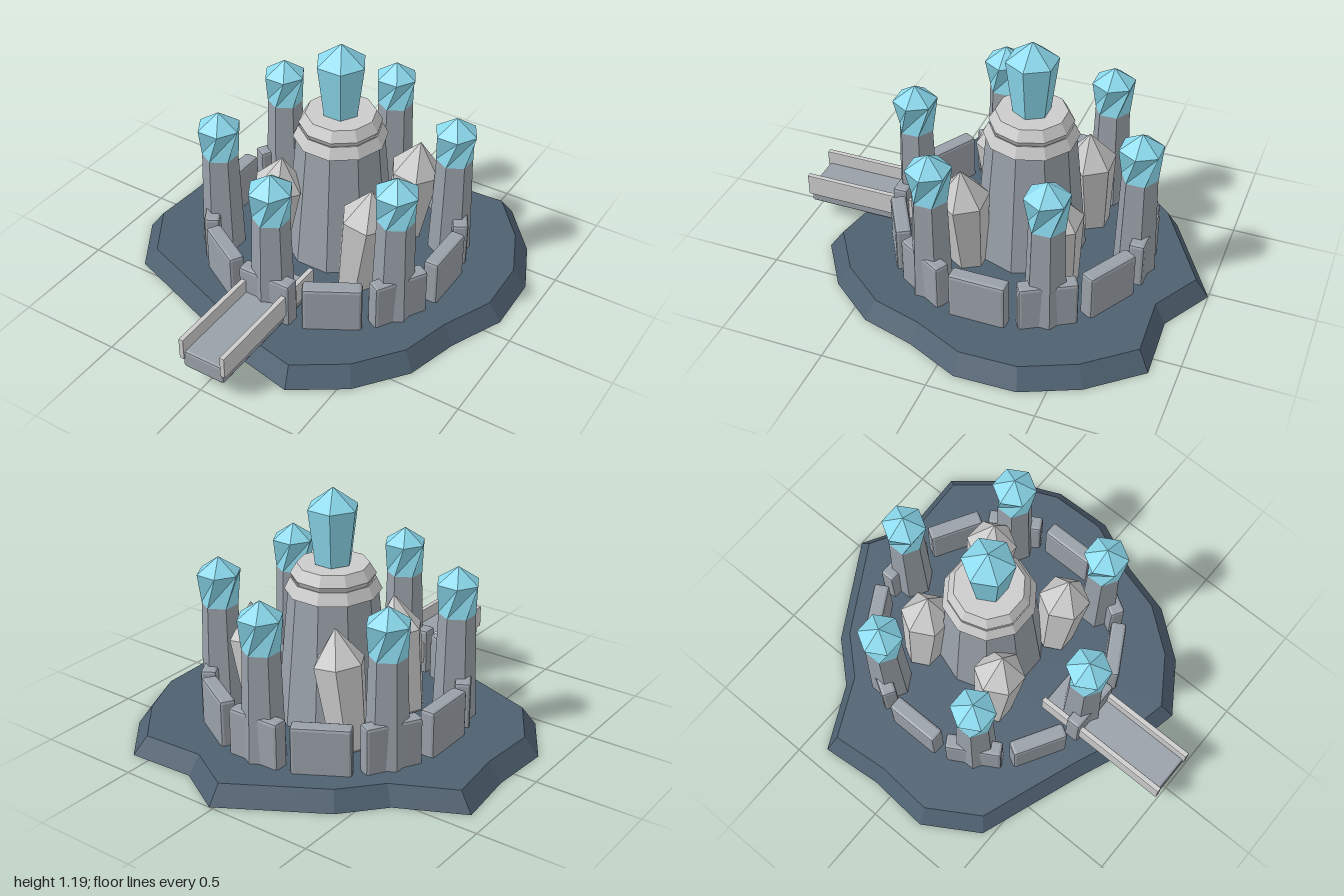
import * as THREE from 'three';
import { RoundedBoxGeometry } from 'three/addons/geometries/RoundedBoxGeometry.js';

const mat = (color, side = THREE.FrontSide) =>
  new THREE.MeshStandardMaterial({ color, flatShading: true, side });

// Faceted solid from [radius, y] rings; each ring may carry a twist in radians.
function faceted(profile, sides, turn = 0) {
  const pos = [], index = [];
  profile.forEach(([r, y, twist = 0]) => {
    for (let i = 0; i < sides; i++) {
      const a = (i / sides) * Math.PI * 2 + turn + twist;
      pos.push(r * Math.sin(a), y, r * Math.cos(a));
    }
  });
  for (let k = 0; k < profile.length - 1; k++) {
    for (let i = 0; i < sides; i++) {
      const j = (i + 1) % sides;
      const a = k * sides + i, b = k * sides + j;
      index.push(a, b, b + sides, a, b + sides, a + sides);
    }
  }
  const g = new THREE.BufferGeometry();
  g.setAttribute('position', new THREE.Float32BufferAttribute(pos, 3));
  g.setIndex(index);
  const flat = g.toNonIndexed();
  flat.computeVertexNormals();
  return flat;
}

// Hollow ground slab: flat top with a sloping rim, open underneath.
function islandGeometry(outline, height, inset, cx, cz) {
  const pos = [cx, height, cz], index = [], n = outline.length;
  for (const [x, z] of outline) {
    pos.push(cx + (x - cx) * inset, height, cz + (z - cz) * inset, x, 0, z);
  }
  for (let i = 0; i < n; i++) {
    const t = 1 + 2 * i, u = 1 + 2 * ((i + 1) % n);
    index.push(0, u, t, t, u, u + 1, t, u + 1, t + 1);
  }
  const g = new THREE.BufferGeometry();
  g.setAttribute('position', new THREE.Float32BufferAttribute(pos, 3));
  g.setIndex(index);
  const flat = g.toNonIndexed();
  flat.computeVertexNormals();
  return flat;
}

export function createModel() {
  const model = new THREE.Group();
  const stone = mat(0x99a0a8), pale = mat(0xcccccc), glow = mat(0x8ad8ec);
  const add = (name, geo, material, x, y, z, parent = model) => {
    const m = new THREE.Mesh(geo, material);
    m.name = name;
    m.position.set(x, y, z);
    parent.add(m);
    return m;
  };
  const cx = 0.017, ringZ = -0.09, keepZ = -0.12;

  // Ground, listed clockwise as seen from above
  const outline = [
    [0.02, -1], [0.265, -0.86], [0.59, -0.875], [0.785, -0.64], [0.9, -0.38],
    [0.908, -0.09], [0.795, 0.165], [0.725, 0.42], [0.55, 0.645], [0.31, 0.805],
    [0.02, 0.745], [-0.225, 0.645], [-0.46, 0.56], [-0.74, 0.46], [-0.9, 0.2],
    [-0.88, -0.1], [-0.91, -0.395], [-0.605, -0.545], [-0.44, -0.73],
  ];
  add('island', islandGeometry(outline, 0.088, 0.93, cx, -0.1),
    mat(0x4e6070, THREE.DoubleSide), 0, 0, 0);

  // Central keep with its collar and large crystal
  const keep = new THREE.Group();
  keep.name = 'keep';
  keep.position.set(cx, 0, keepZ);
  model.add(keep);
  add('keepBody', faceted([[0, 0.08], [0.265, 0.08], [0.205, 0.72], [0, 0.72]], 10, Math.PI / 2),
    stone, 0, 0, 0, keep);
  add('keepCollar', faceted([[0.19, 0.71], [0.222, 0.71], [0.195, 0.765], [0.19, 0.765]], 10, Math.PI / 2),
    pale, 0, 0, 0, keep);
  add('keepRoof', faceted([[0, 0.755], [0.18, 0.755], [0.195, 0.785], [0.165, 0.835], [0, 0.835]], 10, Math.PI / 2),
    pale, 0, 0, 0, keep);
  add('keepCrystal', faceted([[0, 0.838], [0.088, 0.838], [0.122, 1.098], [0, 1.19]], 6, Math.PI / 6),
    glow, 0, 0, 0, keep);

  // Six outer towers, each capped by a crystal
  const towerGeo = faceted([[0, 0.08], [0.102, 0.08], [0.085, 0.6], [0, 0.6]], 6);
  const capGeo = faceted(
    [[0, 0.6], [0.086, 0.6], [0.105, 0.755, Math.PI / 6], [0, 0.83, Math.PI / 6]], 6);
  for (let i = 0; i < 6; i++) {
    const a = (i * Math.PI) / 3, r = 0.545;
    const x = cx + r * Math.sin(a), z = ringZ + r * Math.cos(a);
    add('tower', towerGeo, stone, x, 0, z);
    add('towerCrystal', capGeo, glow, x, 0, z);
  }

  // Ring of twelve wall blocks
  const wallGeo = new RoundedBoxGeometry(0.27, 0.26, 0.075, 1, 0.014);
  for (let i = 0; i < 12; i++) {
    const a = (i * Math.PI) / 6, r = 0.585;
    add('wallBlock', wallGeo, stone, cx + r * Math.sin(a), 0.18, ringZ + r * Math.cos(a))
      .rotation.y = a;
  }

  // Four leaning shards around the keep
  const shardGeo = faceted([[0, -0.08], [0.09, 0.0], [0.122, 0.4], [0, 0.56]], 6, Math.PI / 6);
  for (const sx of [-1, 1]) {
    for (const sz of [-1, 1]) {
      add('shard', shardGeo, pale, 0.002 + sx * 0.24, 0.09, keepZ + sz * 0.225)
        .rotation.z = -0.14;
    }
  }

  // Entrance bridge with side rails
  add('bridgeDeck', new RoundedBoxGeometry(0.214, 0.09, 0.69, 1, 0.012), stone, cx, 0.137, 0.648);
  for (const s of [-1, 1]) {
    add('bridgeRail', new RoundedBoxGeometry(0.026, 0.11, 0.7, 1, 0.005), pale,
      cx + s * 0.108, 0.195, 0.65);
  }
  return model;
}
